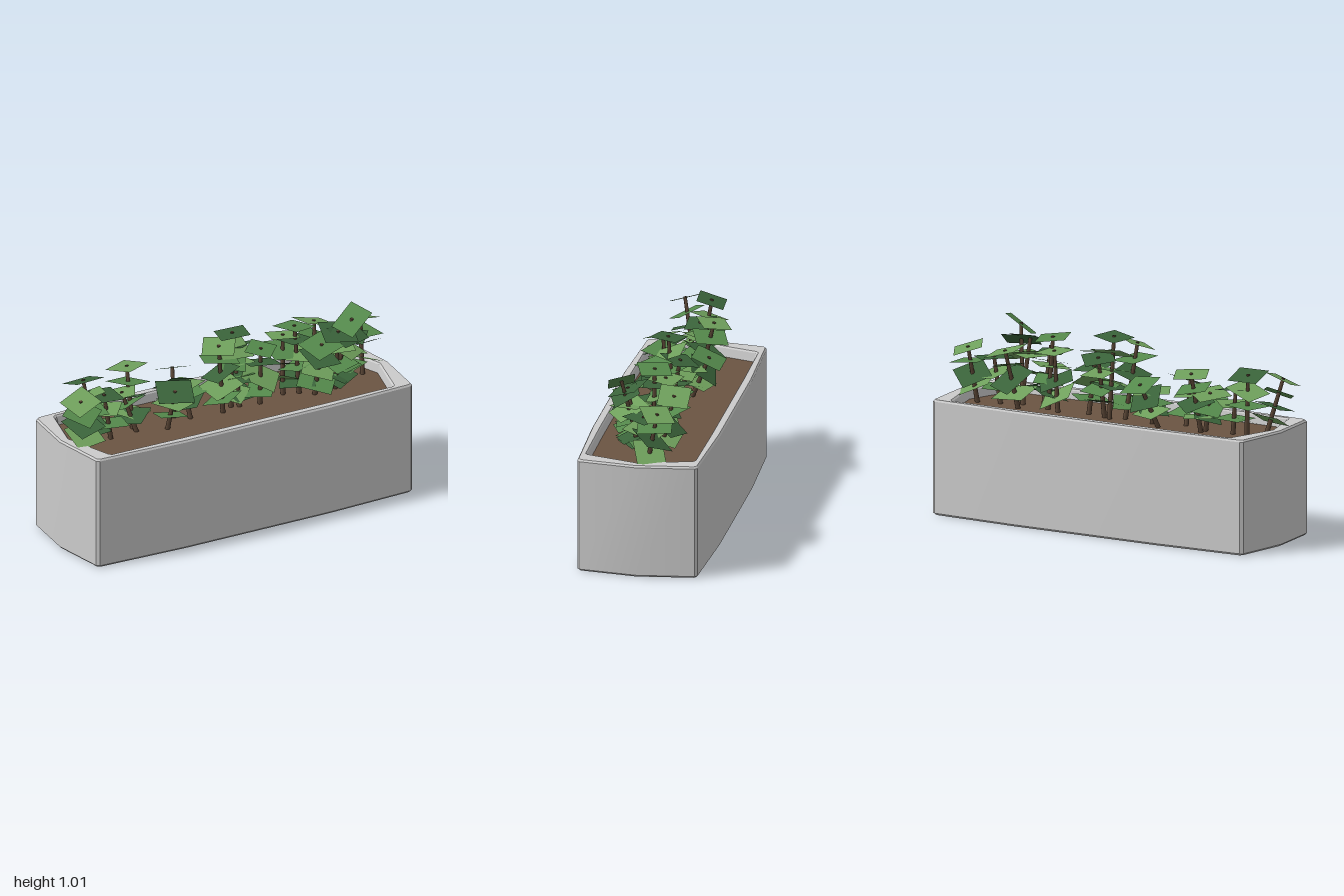
import * as THREE from 'three';
import { toCreasedNormals } from 'three/addons/utils/BufferGeometryUtils.js';

const CENTRE_X = 0.0175;
const SOIL_Y = 0.55;

const paint = (color, side = THREE.FrontSide) => new THREE.MeshStandardMaterial({ color, side });
const stemMat = paint(0x5a4636);
const leafMats = [0x6fa05c, 0x3a633a, 0x558a4c].map((c) => paint(c, THREE.DoubleSide));

// Small seeded generator for the loose leaf angles
let seed = 7;
const rnd = () => (seed = (seed * 16807) % 2147483647) / 2147483647;
const spread = (a) => (rnd() * 2 - 1) * a;

// Full closed outline from one quarter (first point lies on the x axis)
function mirrorQuarter(quarter) {
  const half = [...quarter, ...quarter.slice().reverse().map(([x, z]) => [-x, z])];
  return [...half, ...half.slice(1, -1).reverse().map(([x, z]) => [x, -z])];
}

const outer = mirrorQuarter([[0.977, 0], [0.94, 0.3], [0.925, 0.313], [0.43, 0.333]]);
const inner = mirrorQuarter([[0.93, 0], [0.85, 0.275], [0.835, 0.287], [0.43, 0.292]]);

const ring = (outline, y, inset = 0) =>
  outline.map(([x, z]) => [CENTRE_X + x * (1 - inset), y, z * (1 - inset * 2.5)]);

// Skin successive rings; optional flat cap under the first ring
function loft(rings, capped) {
  const pos = [];
  const n = rings[0].length;
  const tri = (...p) => p.forEach((v) => pos.push(...v));
  for (let j = 0; j < n; j++) {
    const k = (j + 1) % n;
    if (capped) tri([CENTRE_X, rings[0][0][1], 0], rings[0][j], rings[0][k]);
    for (let i = 0; i < rings.length - 1; i++) {
      const a = rings[i][j], b = rings[i][k], c = rings[i + 1][k], d = rings[i + 1][j];
      tri(a, d, b);
      tri(b, d, c);
    }
  }
  const g = new THREE.BufferGeometry();
  g.setAttribute('position', new THREE.Float32BufferAttribute(pos, 3));
  g.computeVertexNormals();
  return toCreasedNormals(g, 0.3);
}

function makePlanter() {
  const planter = new THREE.Mesh(loft([
    ring(outer, 0, 0.01),
    ring(outer, 0.01),
    ring(outer, 0.592),
    ring(outer, 0.602, 0.008),
    ring(inner, 0.602),
    ring(inner, 0.594, 0.008),
    ring(inner, SOIL_Y - 0.01, 0.02),
  ], true), paint(0xcccccc));
  planter.name = 'planterBox';
  return planter;
}

function makeSoil() {
  const shape = new THREE.Shape(inner.map(([x, z]) => new THREE.Vector2(x * 0.985, -z * 0.97)));
  const soil = new THREE.Mesh(new THREE.ShapeGeometry(shape).rotateX(-Math.PI / 2), paint(0x6b5442));
  soil.position.set(CENTRE_X, SOIL_Y, 0);
  soil.name = 'soil';
  return soil;
}

const stemGeo = new THREE.CylinderGeometry(0.009, 0.013, 1, 6);
const leafGeo = new THREE.PlaneGeometry(1, 1).rotateX(-Math.PI / 2);

// One slanted stem carrying square leaves stacked up to its tip
function makePlant([bx, bz, tx, tz, ty, yaw], index) {
  const plant = new THREE.Group();
  plant.name = `plant${index + 1}`;
  const base = new THREE.Vector3(bx, SOIL_Y - 0.01, bz);
  const tip = new THREE.Vector3(tx, ty, tz);
  const dir = tip.clone().sub(base);
  const length = dir.length();
  const lean = new THREE.Quaternion().setFromUnitVectors(new THREE.Vector3(0, 1, 0), dir.normalize());

  const stem = new THREE.Mesh(stemGeo, stemMat);
  stem.name = 'stem';
  stem.scale.y = length + 0.012;
  stem.quaternion.copy(lean);
  stem.position.copy(base).lerp(tip, 0.5);
  plant.add(stem);

  const count = Math.max(3, Math.round((ty - 0.6) / 0.085) + 1);
  for (let i = 0; i < count; i++) {
    const top = i === count - 1;
    const leaf = new THREE.Mesh(leafGeo, leafMats[(index + i) % 3]);
    leaf.name = 'leaf';
    const y = THREE.MathUtils.lerp(0.635, ty, i / (count - 1));
    leaf.position.copy(base).lerp(tip, (y - base.y) / (ty - base.y));
    const tilt = top ? 0.22 : 0.32;
    const angle = top ? THREE.MathUtils.degToRad(yaw) : rnd() * Math.PI;
    leaf.quaternion.copy(lean).multiply(
      new THREE.Quaternion().setFromEuler(new THREE.Euler(spread(tilt), angle, spread(tilt))));
    leaf.scale.set(0.17 + spread(0.02), 1, 0.15 + spread(0.015));
    plant.add(leaf);
  }
  return plant;
}

// Base x, base z, tip x, tip z, tip y, yaw of the top leaf in degrees
const PLANTS = [
  [-0.83, 0.05, -0.9, 0.11, 0.845, 10],
  [-0.75, 0.0, -0.79, -0.05, 0.88, 5],
  [-0.66, 0.01, -0.69, -0.01, 0.79, 0],
  [-0.5, -0.04, -0.49, -0.12, 0.865, 25],
  [-0.5, 0.0, -0.56, -0.05, 0.76, 60],
  [-0.35, 0.05, -0.34, 0.11, 0.775, -20],
  [-0.25, -0.05, -0.2, -0.15, 0.78, -3],
  [-0.18, 0.0, -0.2, -0.04, 0.73, 30],
  [0.0, 0.02, -0.05, 0.06, 0.945, -35],
  [0.07, -0.02, 0.06, 0.01, 0.975, -15],
  [0.11, 0.0, 0.11, -0.06, 0.87, 40],
  [0.22, 0.02, 0.2, 0.06, 0.875, 45],
  [0.38, -0.02, 0.39, -0.04, 0.87, -15],
  [0.46, 0.01, 0.43, 0.01, 0.93, 20],
  [0.52, 0.06, 0.52, 0.13, 0.85, 15],
  [0.6, -0.05, 0.63, -0.13, 0.86, 5],
  [0.65, 0.05, 0.63, 0.11, 0.89, -15],
  [0.74, 0.0, 0.78, 0.0, 0.79, 50],
  [0.86, -0.03, 0.88, -0.09, 0.845, 30],
];

// Tall plant with a steeply pitched top leaf
function makeTallPlant() {
  const plant = makePlant([0.63, 0.04, 0.7, 0.13, 0.95, 0], PLANTS.length);
  const leaf = plant.children[plant.children.length - 1];
  leaf.rotation.set(0.2, 0.35, 0.55);
  leaf.scale.set(0.17, 1, 0.14);
  return plant;
}

export function createModel() {
  const model = new THREE.Group();
  model.name = 'planter';
  const foliage = new THREE.Group();
  foliage.name = 'foliage';
  PLANTS.forEach((p, i) => foliage.add(makePlant(p, i)));
  foliage.add(makeTallPlant());
  model.add(makePlanter(), makeSoil(), foliage);
  return model;
}
